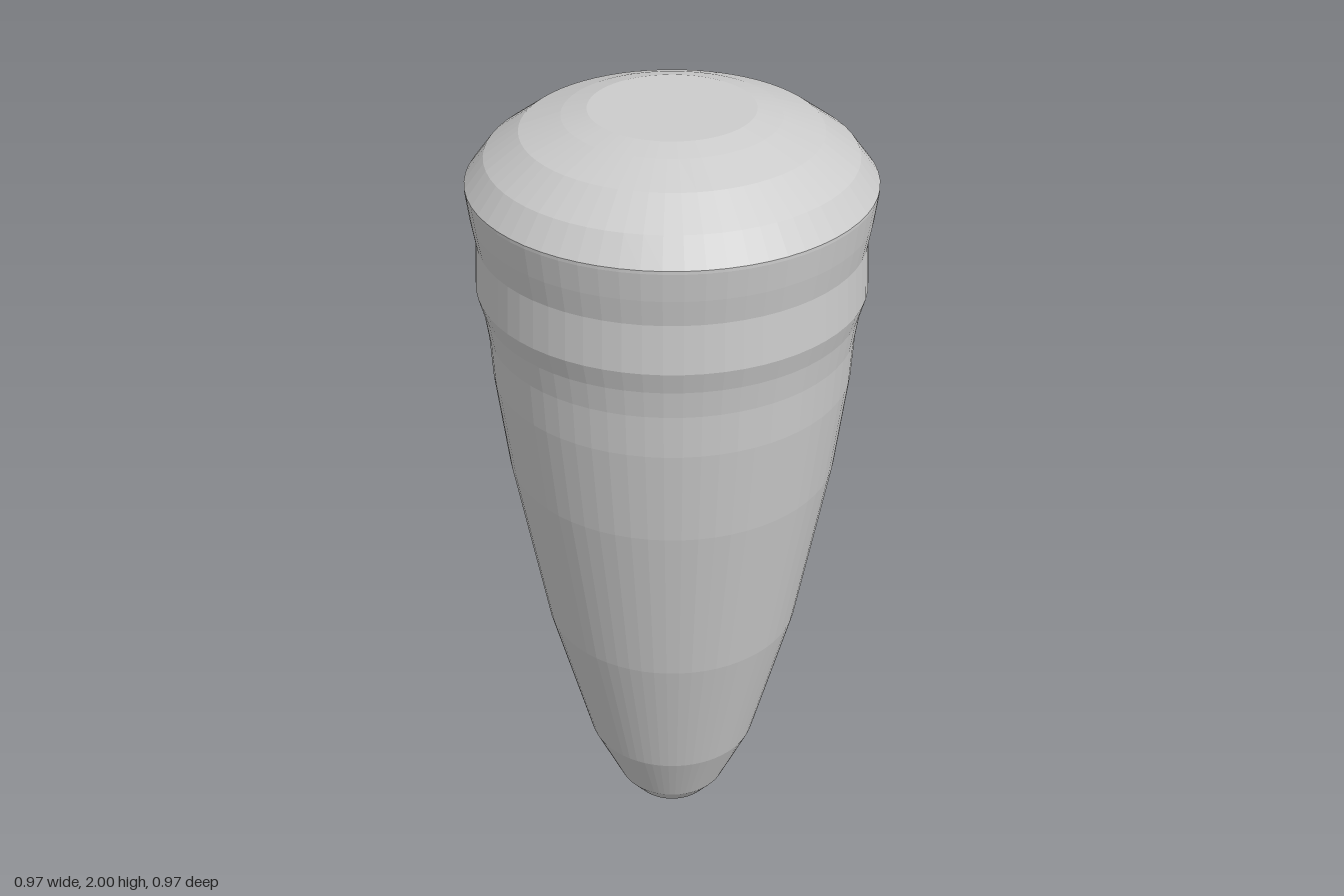
import * as THREE from 'three';

const SEGMENTS = 64;

// Faceted surface of revolution; the profile runs from bottom to top
function turned(name, profile, material) {
  const points = profile.map(([r, y]) => new THREE.Vector2(r, y));
  const mesh = new THREE.Mesh(new THREE.LatheGeometry(points, SEGMENTS), material);
  mesh.name = name;
  return mesh;
}

export function createModel() {
  const group = new THREE.Group();
  group.name = 'taperedPeg';
  const material = new THREE.MeshStandardMaterial({ color: 0xcccccc, flatShading: true });

  // Tapered shaft with a flat closed tip
  group.add(turned('shaft', [
    [0, 0], [0.105, 0], [0.145, 0.05], [0.222, 0.22], [0.325, 0.615],
    [0.408, 1.08], [0.438, 1.33], [0.444, 1.44],
  ], material));

  // Raised band and the waist above it
  group.add(turned('collar', [
    [0.444, 1.44], [0.454, 1.51], [0.469, 1.565], [0.463, 1.685],
    [0.474, 1.75], [0.483, 1.82],
  ], material));

  // Domed head with a flat top
  group.add(turned('cap', [
    [0.483, 1.82], [0.483, 1.828], [0.436, 1.89], [0.353, 1.95],
    [0.255, 1.985], [0.195, 2], [0, 2],
  ], material));

  return group;
}
